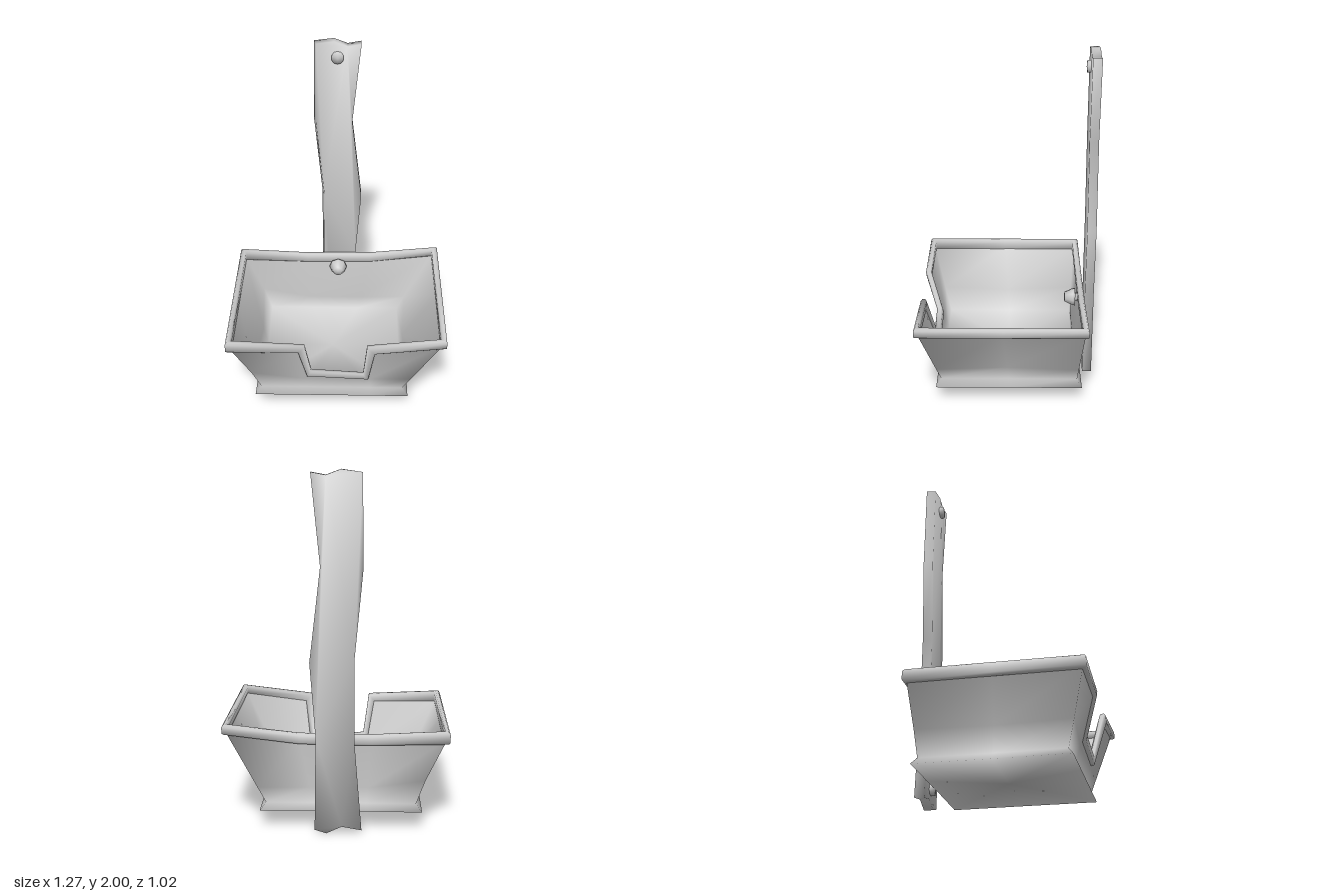
import * as THREE from 'three';
import { toCreasedNormals } from 'three/addons/utils/BufferGeometryUtils.js';

const material = new THREE.MeshStandardMaterial({ color: 0xcccccc });

// Every part is softly shaded across its edges
function softMesh(name, geometry) {
  const mesh = new THREE.Mesh(toCreasedNormals(geometry, Math.PI * 0.95), material);
  mesh.name = name;
  return mesh;
}

// Skin a stack of closed rings (rows of [x, y, z], bottom to top, anticlockwise from above)
function loft(rows, closeRows) {
  const pos = [], n = rows[0].length;
  const last = closeRows ? rows.length : rows.length - 1;
  const triangle = (a, b, c) => {
    if (a !== b && b !== c && a !== c) pos.push(...a, ...b, ...c);
  };
  for (let r = 0; r < last; r++) {
    const lo = rows[r], hi = rows[(r + 1) % rows.length];
    for (let i = 0; i < n; i++) {
      const j = (i + 1) % n;
      triangle(lo[i], lo[j], hi[j]);
      triangle(lo[i], hi[j], hi[i]);
    }
  }
  const g = new THREE.BufferGeometry();
  g.setAttribute('position', new THREE.Float32BufferAttribute(pos, 3));
  return g;
}

// Columns around the tray: rim top, offset to rim underside, outward direction, foot x and z, inward dent
const columns = [
  { top: [-0.615, 0.57, 0.493], down: [0, -0.07, 0], out: [-1, 1], foot: [-0.45, 0.385], dent: 0 },
  { top: [-0.18, 0.55, 0.492], down: [-0.035, -0.05, 0], out: [0, 1], foot: [-0.2, 0.385], dent: 0 },
  { top: [-0.145, 0.31, 0.428], down: [-0.025, -0.048, -0.008], out: [0, 1], foot: [-0.15, 0.385], dent: 0 },
  { top: [0.16, 0.287, 0.425], down: [0.03, -0.045, -0.008], out: [0, 1], foot: [0.16, 0.385], dent: 0 },
  { top: [0.18, 0.548, 0.492], down: [0.045, -0.05, 0], out: [0, 1], foot: [0.2, 0.385], dent: 0 },
  { top: [0.615, 0.6, 0.493], down: [0, -0.055, 0], out: [1, 1], foot: [0.395, 0.385], dent: 0 },
  { top: [0.615, 0.6, 0.02], down: [0, -0.055, 0], out: [1, 0], foot: [0.393, -0.01], dent: 0.025 },
  { top: [0.615, 0.6, -0.437], down: [0, -0.055, 0], out: [1, -1], foot: [0.395, -0.41], dent: 0 },
  { top: [0.2, 0.555, -0.437], down: [0, -0.06, 0], out: [0, -1], foot: [0.13, -0.407], dent: 0.008 },
  { top: [-0.2, 0.55, -0.437], down: [0, -0.06, 0], out: [0, -1], foot: [-0.17, -0.407], dent: 0.008 },
  { top: [-0.615, 0.57, -0.437], down: [0, -0.07, 0], out: [-1, -1], foot: [-0.45, -0.41], dent: 0 },
  { top: [-0.615, 0.57, 0.02], down: [0, -0.07, 0], out: [-1, 0], foot: [-0.445, -0.01], dent: 0.025 },
];

function buildTray() {
  const tray = new THREE.Group();
  tray.name = 'tray';
  const rimAt = (s, t) => columns.map(({ top, down, out }) => [
    top[0] + down[0] * s + out[0] * t, top[1] + down[1] * s, top[2] + down[2] * s + out[1] * t]);
  const footAt = (y, tx, tz) => columns.map(({ foot, out }) => [foot[0] + out[0] * tx, y, foot[1] + out[1] * tz]);
  const hub = y => columns.map(() => [-0.03, y, -0.01]).fill([-0.03, y, -0.01]);

  // Wall rings from foot to rim; the waist is pinched, t shifts the whole wall outwards
  const wallRings = t => {
    const foot = footAt(0.14, t, t), edge = rimAt(0.7, t);
    const waist = columns.map((c, i) => {
      const left = c.top[0] < -0.5;
      const y = left ? 0.28 : 0.23;
      const k = (y - 0.14) / (edge[i][1] - 0.14);
      const mix = a => foot[i][a] + (edge[i][a] - foot[i][a]) * k;
      return [mix(0) - c.out[0] * c.dent + (left ? 0.01 : 0), y, mix(2) - c.out[1] * c.dent];
    });
    return [foot, waist, edge];
  };

  // Outside with a flared foot and a closed base
  const outer = loft([hub(0.1), footAt(0.1, 0.034, 0.028), ...wallRings(0)], false);
  // Inside wall and floor, facing inwards
  const inner = loft([...wallRings(-0.01).reverse(), hub(0.14)], false);

  // Rounded lip following the edge and dipping through the front notch
  const h = 0.018;
  const profile = [[0.85, h], [0.2, h], [0, h * 0.5], [0, -h * 0.5], [0.2, -h], [0.85, -h], [1, -h * 0.6], [1, h * 0.6]];
  const rim = loft(profile.map(([s, t]) => rimAt(s, t)), true);
  tray.add(softMesh('trayOutside', outer), softMesh('trayInside', inner), softMesh('trayRim', rim));
  return tray;
}

// Crooked plank with ragged ends, chamfered towards the front on one edge
function buildPlank() {
  const outline = [
    [-0.145, 0.02], [-0.035, 0.04], [0.05, 0.0], [0.115, 0.02], [0.108, 0.55], [0.14, 0.97],
    [0.08, 1.49], [0.13, 1.985], [0.05, 1.97], [-0.03, 2.0], [-0.145, 1.985], [-0.15, 1.48],
    [-0.103, 0.98], [-0.105, 0.52],
  ];
  const shape = new THREE.Shape(outline.map(p => new THREE.Vector2(...p)));
  const g = new THREE.ExtrudeGeometry(shape, { depth: 0.053, bevelEnabled: false });
  const p = g.attributes.position;
  for (let i = 0; i < p.count; i++) {
    if (p.getZ(i) > 0.01 && p.getX(i) < -0.08) p.setX(i, p.getX(i) + 0.013);
  }
  g.translate(0, 0, -0.513);
  return softMesh('plank', g);
}

// Turned part along z, from [radius, z] points
function turned(name, points, sides, x, y) {
  const g = new THREE.LatheGeometry(points.map(q => new THREE.Vector2(...q)), sides);
  g.rotateX(Math.PI / 2);
  const mesh = softMesh(name, g);
  mesh.position.set(x, y, 0);
  return mesh;
}

export function createModel() {
  const model = new THREE.Group();
  model.name = 'hangingTray';
  model.add(buildPlank(), buildTray());

  // Nails at both ends of the plank
  for (const y of [1.905, 0.1]) {
    model.add(turned('plankNail', [[0.036, -0.47], [0.036, -0.44], [0, -0.436]], 10, -0.008, y));
  }
  // Bolt holding the tray to the plank
  model.add(turned('trayBolt', [[0.025, -0.47], [0.025, -0.408], [0.055, -0.408], [0.054, -0.395],
    [0.03, -0.345], [0, -0.342]], 8, -0.003, 0.472));
  return model;
}
